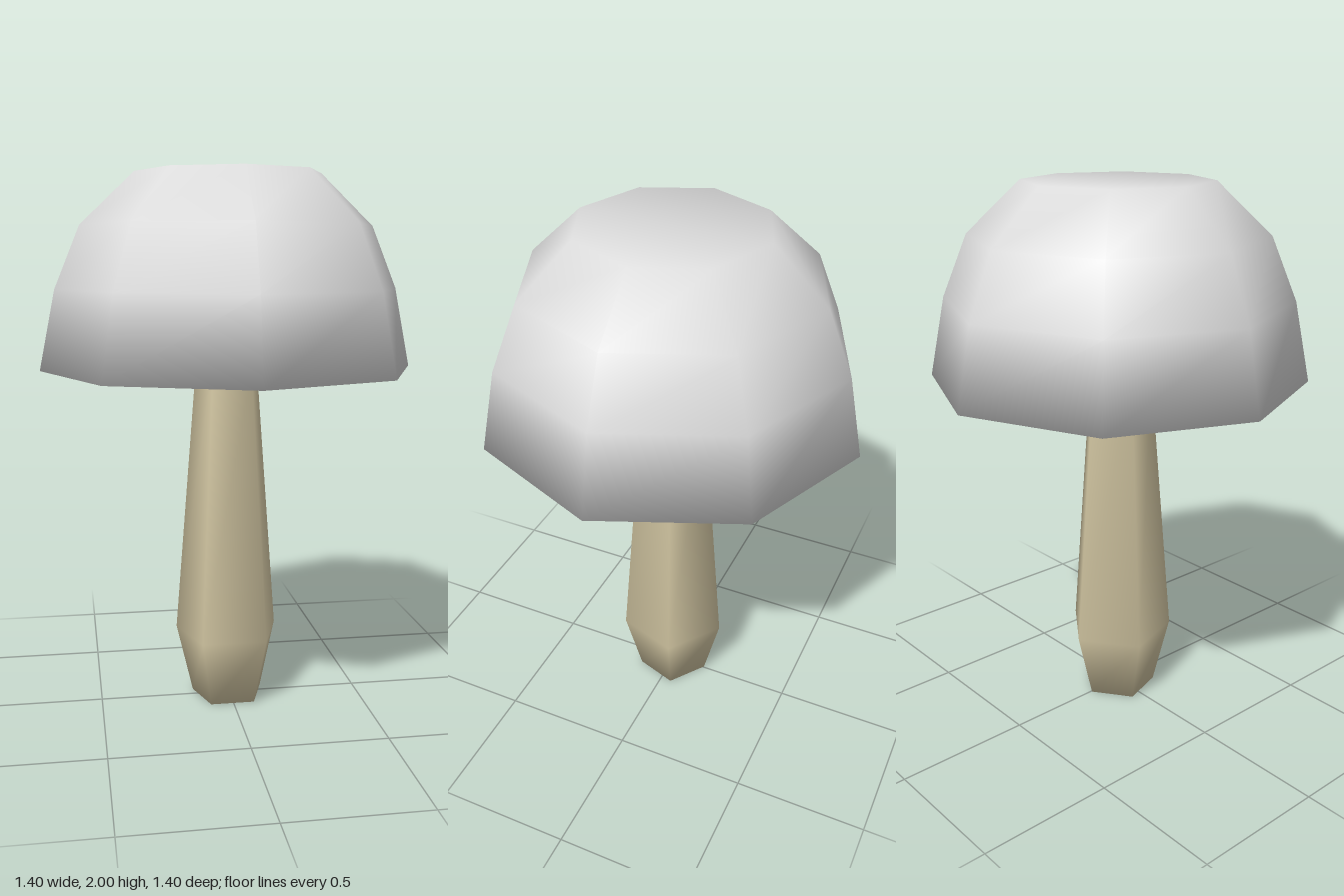
import * as THREE from 'three';

const capGrey = new THREE.MeshStandardMaterial({ color: 0xdcdcdc });
capGrey.name = 'capGrey';
const stemCream = new THREE.MeshStandardMaterial({ color: 0xd2c6a2 });
stemCream.name = 'stemCream';

// Point and soft normal on a ring [radius, height, normal tilt in degrees]
function ringVertex([r, y, tilt], angle) {
  const t = THREE.MathUtils.degToRad(tilt);
  const s = Math.sin(angle), c = Math.cos(angle);
  return { p: [r * s, y, r * c], n: [s * Math.cos(t), Math.sin(t), c * Math.cos(t)] };
}

// Low-sided solid through rings from bottom to top, with smooth normals.
// Group 0: sides and top, group 1: bottom.
function ringSolid(rings, sides, turn) {
  const pos = [], nor = [], side = [], bottom = [];
  for (const ring of rings) {
    for (let i = 0; i < sides; i++) {
      const v = ringVertex(ring, turn + (i / sides) * Math.PI * 2);
      pos.push(...v.p);
      nor.push(...v.n);
    }
  }
  for (let k = 0; k < rings.length - 1; k++) {
    for (let i = 0; i < sides; i++) {
      const j = (i + 1) % sides;
      const a = k * sides + i, b = k * sides + j;
      side.push(a, b, b + sides, a, b + sides, a + sides);
    }
  }
  const top = (rings.length - 1) * sides;
  for (let i = 1; i < sides - 1; i++) {
    side.push(top, top + i, top + i + 1);
    bottom.push(0, i + 1, i);
  }
  const g = new THREE.BufferGeometry();
  g.setAttribute('position', new THREE.Float32BufferAttribute(pos, 3));
  g.setAttribute('normal', new THREE.Float32BufferAttribute(nor, 3));
  g.setIndex([...side, ...bottom]);
  g.addGroup(0, side.length, 0);
  g.addGroup(side.length, bottom.length, 1);
  return g;
}

export function createModel() {
  const model = new THREE.Group();
  model.name = 'mushroom';

  // Eight-sided domed cap with a flat top and a cream underside
  const cap = new THREE.Mesh(ringSolid([
    [0.7, 1.285, -36],
    [0.64, 1.58, 17],
    [0.545, 1.81, 35],
    [0.345, 2.0, 66],
  ], 8, 0), [capGrey, stemCream]);
  cap.name = 'cap';
  model.add(cap);

  // Five-sided stem, thickest just above the foot
  const stem = new THREE.Mesh(ringSolid([
    [0.142, 0, -40],
    [0.206, 0.26, -3],
    [0.123, 1.29, 5],
  ], 5, Math.PI), [stemCream, stemCream]);
  stem.name = 'stem';
  stem.position.x = -0.004;
  model.add(stem);

  return model;
}
